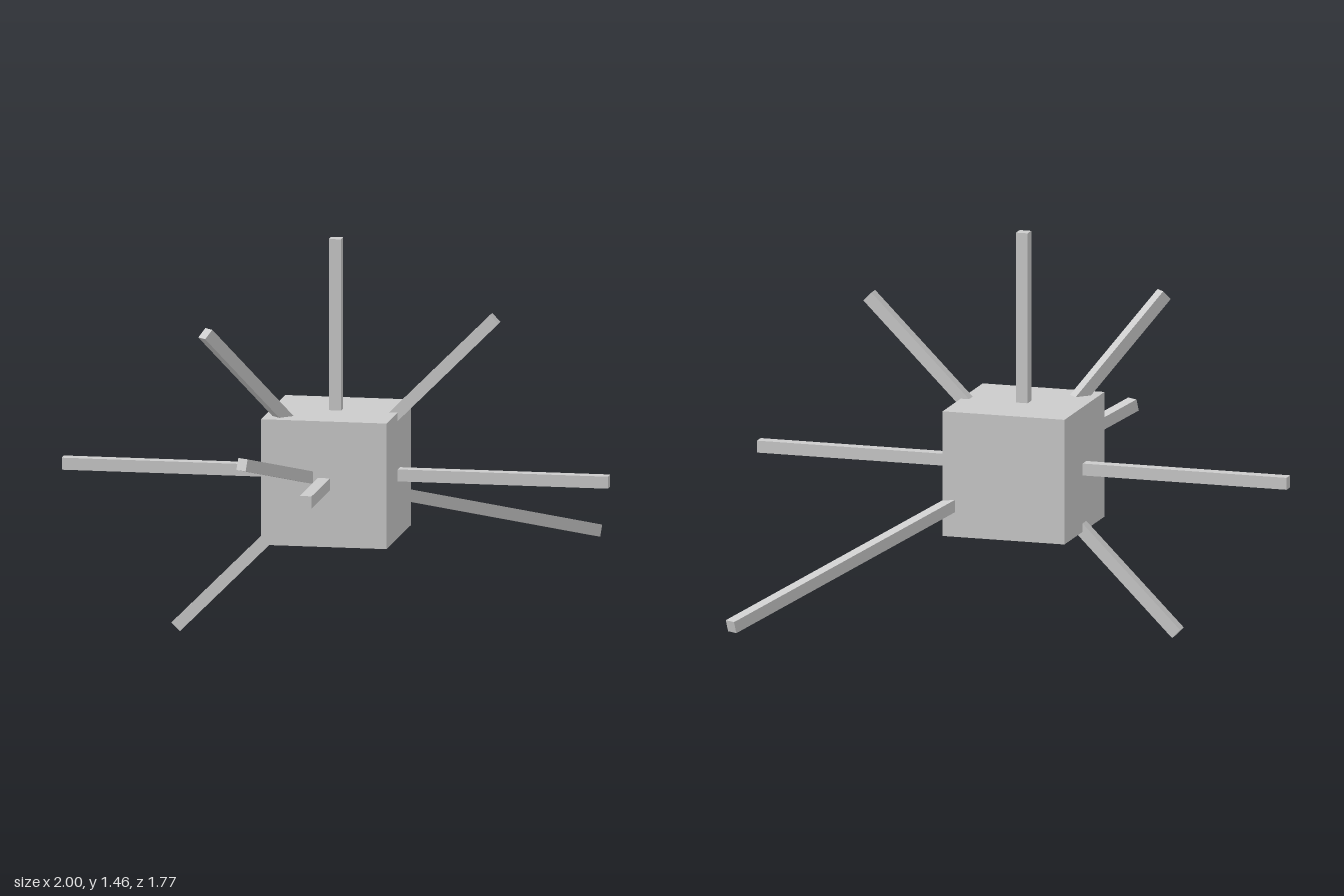
import * as THREE from 'three';

const CENTER = new THREE.Vector3(0, 0.6, 0.287);
const THICK = 0.044;

export function createModel() {
  const model = new THREE.Group();
  const material = new THREE.MeshStandardMaterial({ color: 0xcccccc, flatShading: true });

  // central block
  const block = new THREE.Mesh(new THREE.BoxGeometry(0.46, 0.46, 0.477), material);
  block.name = 'centralBlock';
  block.position.copy(CENTER);
  model.add(block);

  // square rod between two points, kept level across its width
  function addRod(name, from, to) {
    const length = from.distanceTo(to);
    const rod = new THREE.Mesh(new THREE.BoxGeometry(THICK, THICK, length), material);
    rod.name = name;
    rod.position.lerpVectors(from, to, 0.5);
    rod.lookAt(to);
    model.add(rod);
  }
  const at = (x, y, z) => new THREE.Vector3(x, y, z);
  const { y, z } = CENTER;

  // rods through the block
  addRod('crossRod', at(-1, y, z), at(1, y, z));
  addRod('diagonalRod', at(-0.583, y - 0.583, z), at(0.583, y + 0.583, z));
  addRod('longSlantedRod', at(-0.242, 0.72, 0.832), at(0.737, 0.199, -0.87));

  // rods ending inside the block
  addRod('topRod', CENTER, at(0, 1.457, z));
  addRod('frontRod', CENTER, at(0, y, 0.88));
  addRod('raisedCornerRod', CENTER, at(-0.403, 1.168, z + 0.403));

  return model;
}
